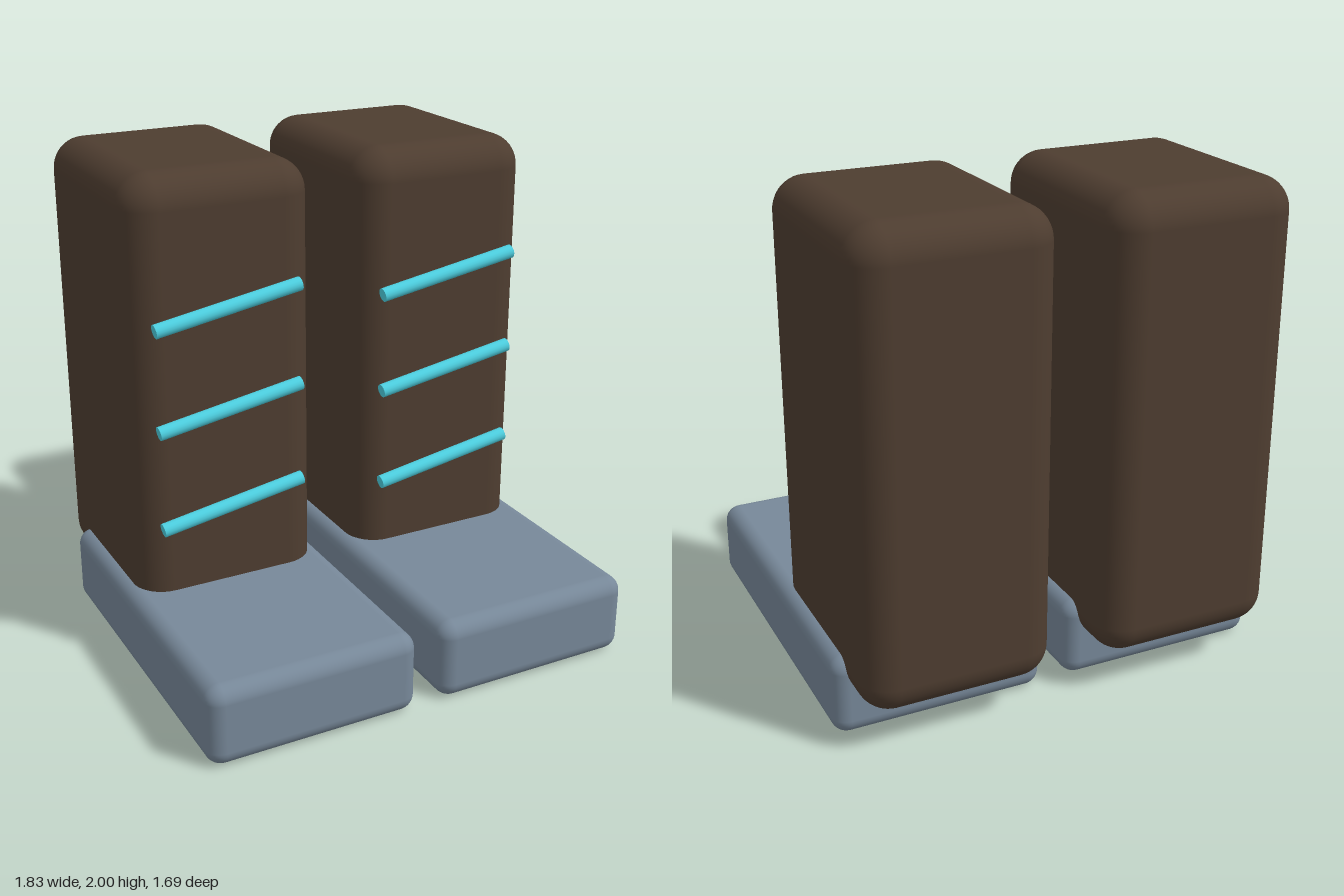
import * as THREE from 'three';
import { RoundedBoxGeometry } from 'three/addons/geometries/RoundedBoxGeometry.js';

const shaftMaterial = new THREE.MeshStandardMaterial({ color: 0x4e3d30 });
const soleMaterial = new THREE.MeshStandardMaterial({ color: 0x778899 });
const laceMaterial = new THREE.MeshStandardMaterial({ color: 0x4dd0e1 });

function addPart(parent, name, geometry, material, x, y, z) {
  const mesh = new THREE.Mesh(geometry, material);
  mesh.name = name;
  mesh.position.set(x, y, z);
  parent.add(mesh);
  return mesh;
}

function createBoot(name) {
  const boot = new THREE.Group();
  boot.name = name;

  // Long, low foot block
  addPart(boot, 'foot', new RoundedBoxGeometry(0.863, 0.33, 1.475, 5, 0.065), soleMaterial, 0, 0.165, 0.11);

  // Tall shaft, set back so it overhangs the heel
  addPart(boot, 'shaft', new RoundedBoxGeometry(0.763, 1.83, 0.943, 6, 0.13), shaftMaterial, 0, 1.085, -0.375);

  // Three slanted laces, rising the same way on both boots
  for (let i = 0; i < 3; i++) {
    const lace = addPart(boot, `lace${i + 1}`, new THREE.CylinderGeometry(0.028, 0.028, 0.61, 16),
      laceMaterial, 0, 0.665 + i * 0.408, 0.115);
    lace.rotation.z = -Math.PI / 2 + 0.168;
  }
  return boot;
}

export function createModel() {
  const model = new THREE.Group();
  model.name = 'boots';
  for (const side of [-1, 1]) {
    const boot = createBoot(side > 0 ? 'leftBoot' : 'rightBoot');
    boot.position.x = side * 0.483;
    model.add(boot);
  }
  return model;
}
